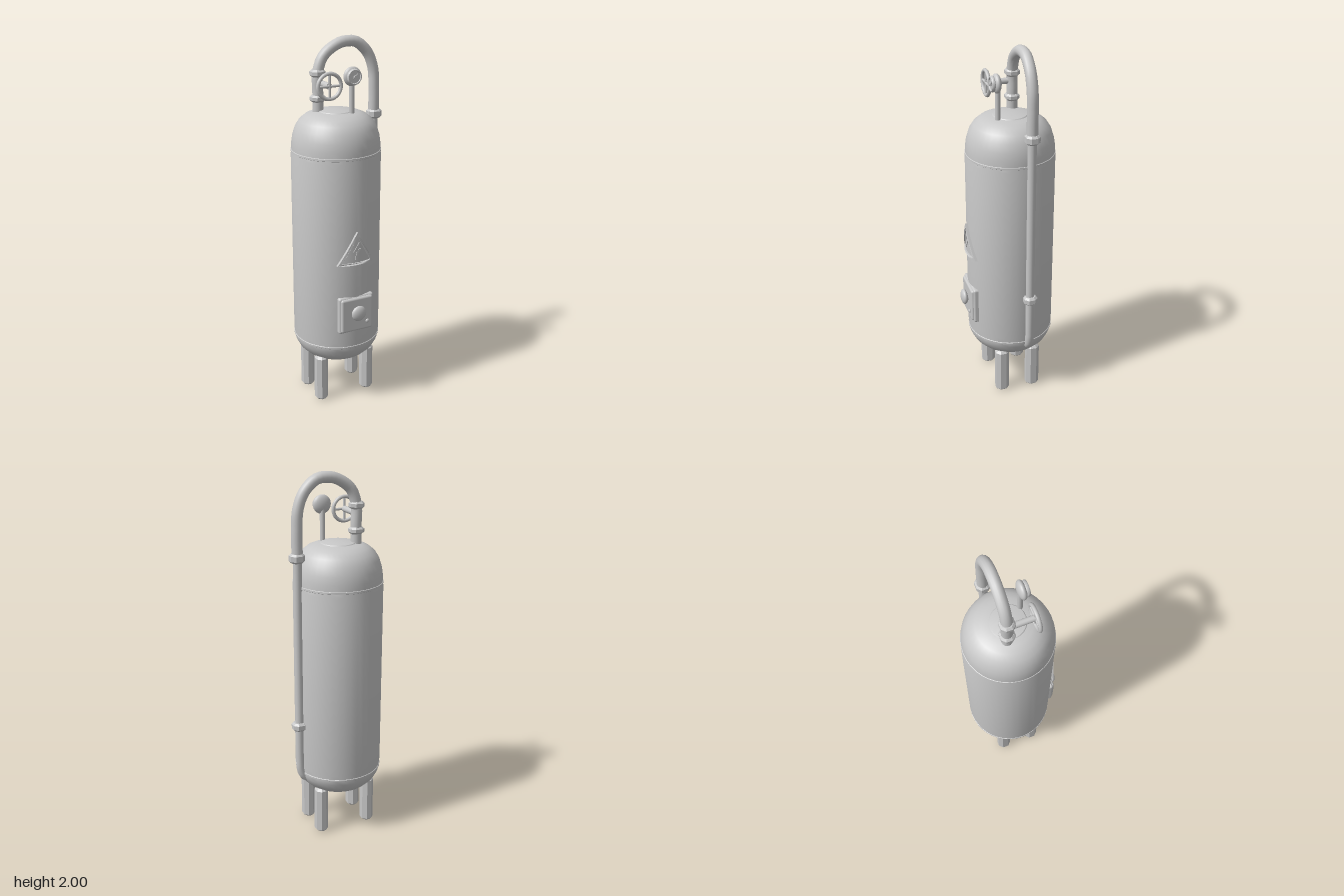
import * as THREE from 'three';
import { toCreasedNormals } from 'three/addons/utils/BufferGeometryUtils.js';
import { RoundedBoxGeometry } from 'three/addons/geometries/RoundedBoxGeometry.js';

const V = (x, y, z = 0) => new THREE.Vector3(x, y, z);
const R = 0.238;                 // tank radius
const CX = -0.024, CZ = -0.025;  // tank axis
const PZ = -0.062;               // plane of the pipework

export function createModel() {
  const model = new THREE.Group();
  const steel = new THREE.MeshStandardMaterial({ color: 0xc8c8c8 });
  steel.name = 'grey steel';

  const add = (name, geo, x = 0, y = 0, z = 0, parent = model) => {
    const mesh = new THREE.Mesh(geo, steel);
    mesh.name = name;
    mesh.position.set(x, y, z);
    parent.add(mesh);
    return mesh;
  };
  const lathe = (pts, seg) =>
    toCreasedNormals(new THREE.LatheGeometry(pts.map(p => new THREE.Vector2(...p)), seg), 0.6);
  const rod = (r, len, seg = 14) => new THREE.CylinderGeometry(r, r, len, seg);

  // Tank: domed ends, flat end caps and two weld seams
  add('tank', lathe([
    [0, 0.208], [0.07, 0.211], [0.088, 0.218], [0.092, 0.226],
    [0.135, 0.238], [0.175, 0.258], [0.21, 0.292], [0.23, 0.33], [0.235, 0.354],
    [R, 0.356], [R, 0.364], [0.235, 0.366], [R, 0.39],
    [R, 1.40], [0.235, 1.414], [R, 1.416], [R, 1.426], [0.235, 1.428],
    [0.234, 1.46], [0.228, 1.50], [0.214, 1.545], [0.192, 1.58], [0.16, 1.606], [0.125, 1.62],
    [0.092, 1.625], [0.088, 1.629], [0.06, 1.634], [0, 1.637],
  ], 40), CX, 0, CZ);

  // Chamfered block standing along y, used for legs and pipe couplings
  const block = (w, h, d, c, bevel) => {
    const a = w / 2 - bevel, b = d / 2 - bevel;
    const shape = new THREE.Shape([
      [-a + c, -b], [a - c, -b], [a, -b + c], [a, b - c],
      [a - c, b], [-a + c, b], [-a, b - c], [-a, -b + c],
    ].map(p => new THREE.Vector2(...p)));
    const geo = new THREE.ExtrudeGeometry(shape, {
      depth: h - 2 * bevel, bevelEnabled: true, bevelSize: bevel, bevelThickness: bevel, bevelSegments: 1,
    });
    geo.translate(0, 0, -h / 2 + bevel);
    geo.rotateX(-Math.PI / 2);
    return toCreasedNormals(geo, 0.3);
  };

  // Four legs
  for (const x of [-0.165, 0.119])
    for (const z of [0.066, -0.114])
      add('leg', block(0.068, 0.27, 0.076, 0.014, 0.012), x, 0.135, z);

  // Thick hose arching from the top of the tank to its side
  const tube = (pts, r, n) => new THREE.TubeGeometry(
    new THREE.CatmullRomCurve3(pts.map(p => V(p[0], p[1], PZ))), n, r, 14);
  add('hose', tube([
    [-0.108, 1.60], [-0.108, 1.72], [-0.108, 1.82], [-0.075, 1.905], [0.005, 1.96], [0.06, 1.971], [0.115, 1.963],
    [0.18, 1.905], [0.214, 1.82], [0.221, 1.72], [0.221, 1.58],
  ], 0.029, 40));

  // Thin pipe running down the side and bending into the tank
  add('sidePipe', tube([
    [0.221, 1.60], [0.221, 1.2], [0.221, 0.8], [0.221, 0.45], [0.217, 0.38],
    [0.198, 0.335], [0.15, 0.312],
  ], 0.023, 48));

  // Couplings clamped round the pipes
  for (const [x, y, h] of [[-0.109, 1.69, 0.036], [-0.109, 1.82, 0.038], [0.223, 1.578, 0.048], [0.223, 0.647, 0.045]])
    add('coupling', block(0.076, h, 0.073, 0.014, 0.01), x, y, PZ);

  // Valve handwheel with cross spokes
  const valve = new THREE.Group();
  valve.name = 'valve';
  valve.position.set(-0.109, 1.775, 0.077);
  model.add(valve);
  add('wheelRim', new THREE.TorusGeometry(0.064, 0.01, 10, 28), 0, 0, 0, valve);
  for (const turn of [0, Math.PI / 2])
    add('wheelSpoke', rod(0.007, 0.126, 8), 0, 0, 0, valve).rotation.z = turn;
  add('valveShaft', rod(0.016, 0.14), 0, 0, -0.072, valve).rotation.x = Math.PI / 2;

  // Pressure gauge on its stem
  const gauge = new THREE.Group();
  gauge.name = 'gauge';
  gauge.position.set(0.027, 1.812, 0.062);
  model.add(gauge);
  add('gaugeStem', rod(0.014, 0.19), 0, -0.105, -0.006, gauge);
  const facing = geo => geo.rotateX(Math.PI / 2);
  const body = new THREE.SphereGeometry(0.05, 24, 14);
  body.scale(1, 1, 0.46);
  add('gaugeBody', body, 0, 0, 0, gauge);
  add('gaugeRim', facing(lathe([
    [0.036, 0.012], [0.041, 0.018], [0.041, 0.026], [0.037, 0.032], [0.033, 0.032], [0.031, 0.026], [0, 0.026],
  ], 24)), 0, 0, 0, gauge);
  add('needle', new THREE.BoxGeometry(0.036, 0.005, 0.005), 0.004, 0.004, 0.03, gauge).rotation.z = 0.75;
  add('needlePin', facing(rod(0.008, 0.012, 10)), 0, 0, 0.031, gauge);

  // Control panel with knob and button
  const panel = new THREE.Group();
  panel.name = 'controlPanel';
  panel.position.set(-0.022, 0.56, 0);
  model.add(panel);
  add('panelBase', new RoundedBoxGeometry(0.206, 0.21, 0.06, 3, 0.012), 0, 0, 0.185, panel);
  add('panelFace', new RoundedBoxGeometry(0.188, 0.194, 0.026, 3, 0.012), 0, 0, 0.213, panel);
  const knob = new THREE.SphereGeometry(0.043, 24, 14);
  knob.scale(1, 1, 0.45);
  add('knob', knob, 0, 0.014, 0.243, panel);
  add('knobCollar', facing(rod(0.026, 0.02)), 0, 0.014, 0.228, panel);
  const button = new THREE.SphereGeometry(0.011, 12, 8);
  button.scale(1, 1, 0.6);
  add('button', button, 0.059, -0.048, 0.23, panel);

  // Warning sign, wrapped onto the tank wall
  const sign = new THREE.Group();
  sign.name = 'warningSign';
  sign.position.set(CX, 0.85, CZ);
  model.add(sign);
  const wrap = geo => {
    const p = geo.attributes.position;
    for (let i = 0; i < p.count; i++)
      p.setZ(i, p.getZ(i) + Math.sqrt(R * R - p.getX(i) ** 2));
    geo.computeVertexNormals();
    return toCreasedNormals(geo, 0.5);
  };
  const H = 0.183, W = 0.105;
  const triangle = s => {
    const mid = H / 3;
    const c = [[-W, 0], [W, 0], [0, H]].map(([x, y]) => new THREE.Vector2(x * s, mid + (y - mid) * s));
    return c.flatMap((a, i) => Array.from({ length: 8 }, (_, k) => a.clone().lerp(c[(i + 1) % 3], k / 8)));
  };
  const frame = new THREE.Shape(triangle(1));
  frame.holes.push(new THREE.Path(triangle(0.8).reverse()));
  add('signFrame', wrap(new THREE.ExtrudeGeometry(frame, { depth: 0.02, bevelEnabled: false })
    .translate(0, 0, -0.006)), 0, 0, 0, sign);

  const plate = new THREE.PlaneGeometry(2, 1, 10, 4);
  const pp = plate.attributes.position;
  for (let i = 0; i < pp.count; i++) {
    const v = pp.getY(i) + 0.5;
    pp.setXYZ(i, pp.getX(i) * W * 0.95 * (1 - v), 0.004 + v * H * 0.95, 0.006);
  }
  add('signPlate', wrap(plate), 0, 0, 0, sign);

  const bolt = new THREE.Shape([
    [0.012, 0.125], [-0.022, 0.072], [-0.002, 0.074], [-0.012, 0.03], [0.024, 0.088], [0.004, 0.086],
  ].map(p => new THREE.Vector2(...p)));
  add('boltSymbol', wrap(new THREE.ExtrudeGeometry(bolt, { depth: 0.006, bevelEnabled: false })
    .translate(0, 0, 0.004)), 0, 0, 0, sign);

  return model;
}
